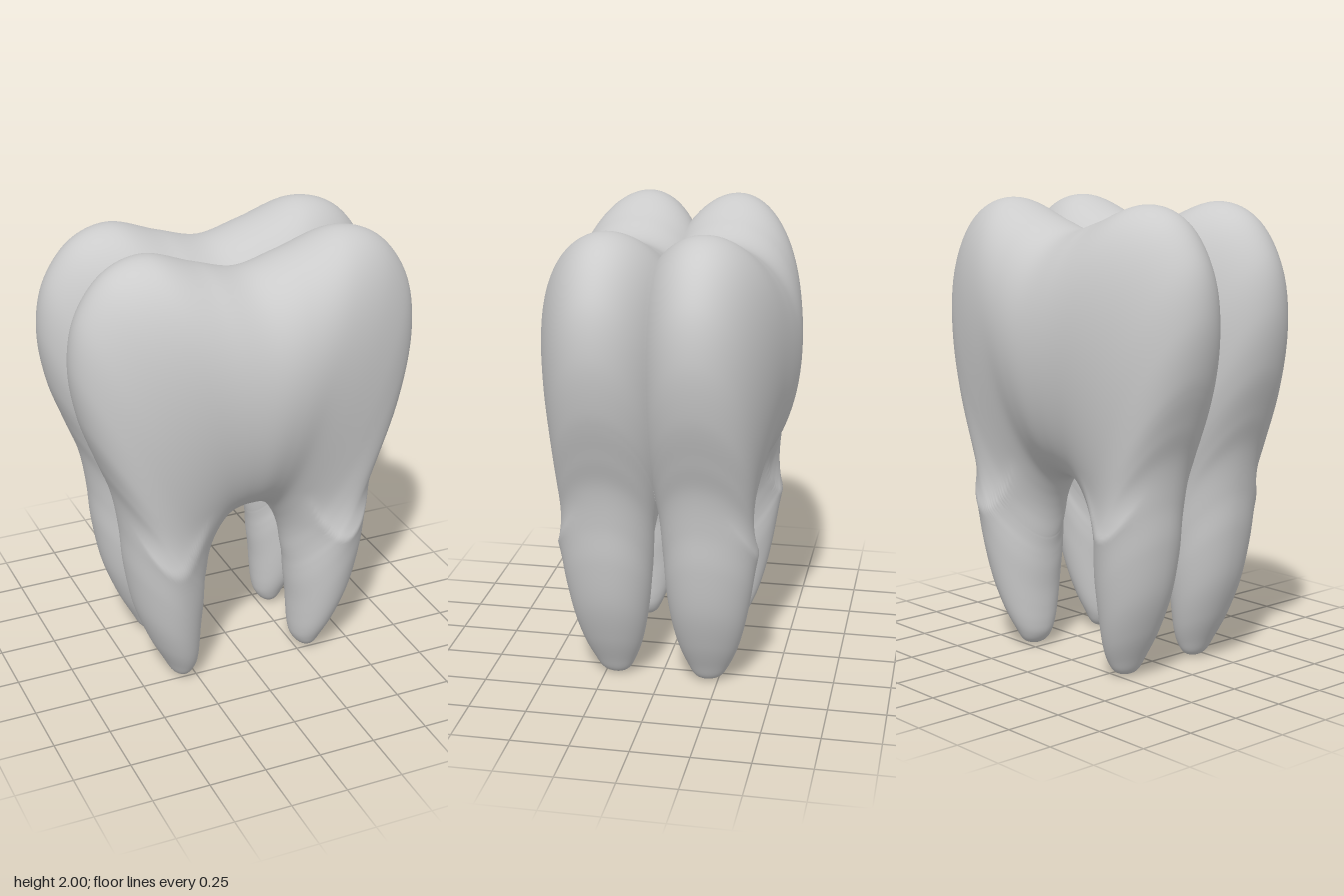
import * as THREE from 'three';

// Stations along one half of the arch, from the middle of the crown to the root tip:
// inner x, inner y, outer x, outer y, depth
const STATIONS = [
  [0, 0.82, 0, 1.88, 0.345],
  [0.05, 0.812, 0.2, 1.93, 0.336],
  [0.1, 0.78, 0.42, 2.0, 0.312],
  [0.14, 0.72, 0.6, 1.945, 0.285],
  [0.165, 0.66, 0.725, 1.78, 0.256],
  [0.18, 0.6, 0.763, 1.57, 0.232],
  [0.19, 0.53, 0.732, 1.34, 0.216],
  [0.2, 0.47, 0.66, 1.13, 0.207],
  [0.205, 0.42, 0.6, 0.97, 0.204],
  [0.21, 0.36, 0.568, 0.79, 0.2],
  [0.22, 0.27, 0.553, 0.61, 0.19],
  [0.225, 0.18, 0.515, 0.4, 0.166],
  [0.23, 0.11, 0.45, 0.22, 0.134],
  [0.24, 0.06, 0.385, 0.09, 0.097],
  [0.265, 0.02, 0.345, 0.02, 0.06],
  [0.3, 0, 0.3, 0, 0],
];
const MID = 0.2; // z of each half's silhouette plane
const STEPS = 240;
const AROUND = 96;
const { smoothstep } = THREE.MathUtils;

// Low ridge in a V across the front of each root, where the crown ends
function ridge(x, y) {
  const h = y - (0.64 + 8 * (Math.abs(x) - 0.39) ** 2);
  const fade = 1 - smoothstep(y, 0.7, 0.9);
  return 0.03 * fade * Math.exp(h < 0 ? h / 0.16 : -h / 0.08);
}

function halfGeometry() {
  const mirrored = STATIONS.slice(1).reverse().map(([a, b, c, d, e]) => [-a, b, -c, d, e]);
  const all = [...mirrored, ...STATIONS];
  const curve = (fn) => new THREE.CatmullRomCurve3(all.map(fn), false, 'catmullrom', 0.5);
  const inner = curve(([x, y]) => new THREE.Vector3(x, y, 0));
  const outer = curve(([, , x, y, d]) => new THREE.Vector3(x, y, d));

  const positions = [];
  const index = [];
  for (let i = 0; i <= STEPS; i++) {
    const u = i / STEPS;
    const a = inner.getPoint(u);
    const b = outer.getPoint(u);
    const depth = Math.max(0, b.z);
    // The middle of the crown is fuller toward the top; roots are flatter at the inside
    const skew = 0.22 * smoothstep(depth, 0.23, 0.345);
    const back = depth * (0.86 + 0.14 * smoothstep(depth, 0.195, 0.225));
    // Sections stop at the seam z = 0, or close up behind when thin enough
    const over = Math.asin(Math.min(1, MID / Math.max(back, 1e-6)));
    for (let j = 0; j <= AROUND; j++) {
      const t = -over + (Math.PI + 2 * over) * (j / AROUND);
      let s = (1 - Math.cos(t)) / 2;
      s += skew * s * (1 - s);
      const x = a.x + (b.x - a.x) * s;
      const y = a.y + (b.y - a.y) * s;
      const sin = Math.sin(t);
      const front = depth + ridge(x, y) * Math.min(1, depth / 0.1);
      positions.push(x, y, Math.max(0, MID + sin * (sin > 0 ? front : back)));
    }
  }
  const row = AROUND + 1;
  for (let i = 0; i < STEPS; i++) {
    for (let j = 0; j < AROUND; j++) {
      const p = i * row + j;
      const q = p + row;
      index.push(p, q, q + 1, p, q + 1, p + 1);
    }
  }
  const geometry = new THREE.BufferGeometry();
  geometry.setAttribute('position', new THREE.Float32BufferAttribute(positions, 3));
  geometry.setIndex(index);
  geometry.computeVertexNormals();
  return geometry;
}

export function createModel() {
  const group = new THREE.Group();
  group.name = 'molarTooth';
  const material = new THREE.MeshStandardMaterial({ color: 0xcccccc, side: THREE.DoubleSide });
  const geometry = halfGeometry();

  // Two equal halves, each with two cusps and two roots, meeting at a central groove
  ['frontHalf', 'backHalf'].forEach((name, k) => {
    const half = new THREE.Mesh(geometry, material);
    half.name = name;
    half.rotation.y = k * Math.PI;
    group.add(half);
  });
  return group;
}
